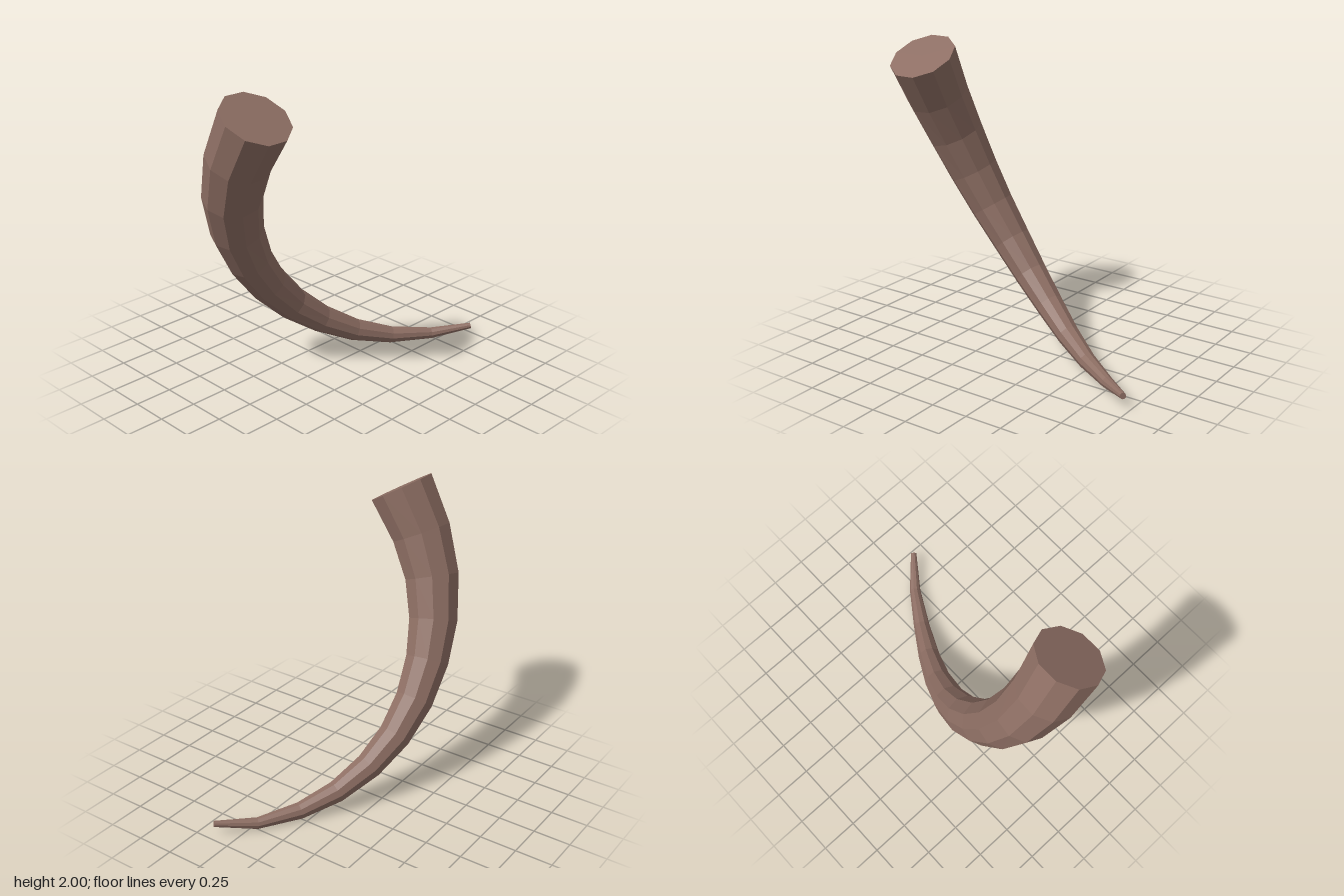
import * as THREE from 'three';

const SIDES = 10;

// Centreline of the horn, from the wide base down to the tip
const CENTRES = [
  [0.123, 1.895, 0.745], [-0.035, 1.613, 0.75], [-0.155, 1.342, 0.705], [-0.23, 1.08, 0.615],
  [-0.268, 0.84, 0.49], [-0.275, 0.615, 0.33], [-0.243, 0.418, 0.148], [-0.175, 0.26, -0.05],
  [-0.07, 0.135, -0.268], [0.06, 0.062, -0.495], [0.215, 0.042, -0.74], [0.393, 0.087, -0.952],
].map((p) => new THREE.Vector3(...p));

const BASE_RADIUS = 0.222;
const TIP_RADIUS = 0.02;

// Rings of points carried along the centreline without twisting
function hornRings() {
  const last = CENTRES.length - 1;
  const normal = new THREE.Vector3(0, 0, 1);
  return CENTRES.map((centre, i) => {
    let tangent;
    if (i === 0) tangent = new THREE.Vector3(-0.5, -0.866, 0);
    else if (i === last) tangent = new THREE.Vector3(0.18, 0.05, -0.215);
    else {
      const before = centre.clone().sub(CENTRES[i - 1]).normalize();
      tangent = CENTRES[i + 1].clone().sub(centre).normalize().add(before);
    }
    tangent.normalize();
    normal.addScaledVector(tangent, -normal.dot(tangent)).normalize();
    const binormal = tangent.clone().cross(normal);
    const radius = THREE.MathUtils.lerp(BASE_RADIUS, TIP_RADIUS, i / last);
    return Array.from({ length: SIDES }, (_, j) => {
      const a = (j / SIDES) * Math.PI * 2;
      return centre.clone()
        .addScaledVector(normal, Math.cos(a) * radius)
        .addScaledVector(binormal, Math.sin(a) * radius);
    });
  });
}

function facetedMesh(name, triangles, material) {
  const geometry = new THREE.BufferGeometry().setFromPoints(triangles);
  geometry.computeVertexNormals();
  const mesh = new THREE.Mesh(geometry, material);
  mesh.name = name;
  return mesh;
}

export function createModel() {
  const group = new THREE.Group();
  group.name = 'curvedHorn';
  const hornBrown = new THREE.MeshStandardMaterial({ color: 0x8d6e63, flatShading: true });
  hornBrown.name = 'hornBrown';

  const rings = hornRings();
  const last = rings.length - 1;
  const shaft = [];
  const baseCap = [];
  const tipCap = [];

  for (let j = 0; j < SIDES; j++) {
    const k = (j + 1) % SIDES;
    // Tapered side facets
    for (let i = 0; i < last; i++) {
      const [a, b, c, d] = [rings[i][j], rings[i][k], rings[i + 1][j], rings[i + 1][k]];
      shaft.push(a, b, c, b, d, c);
    }
    // Flat ends
    baseCap.push(CENTRES[0], rings[0][k], rings[0][j]);
    tipCap.push(CENTRES[last], rings[last][j], rings[last][k]);
  }

  group.add(
    facetedMesh('hornShaft', shaft, hornBrown),
    facetedMesh('hornBase', baseCap, hornBrown),
    facetedMesh('hornTip', tipCap, hornBrown),
  );
  return group;
}
